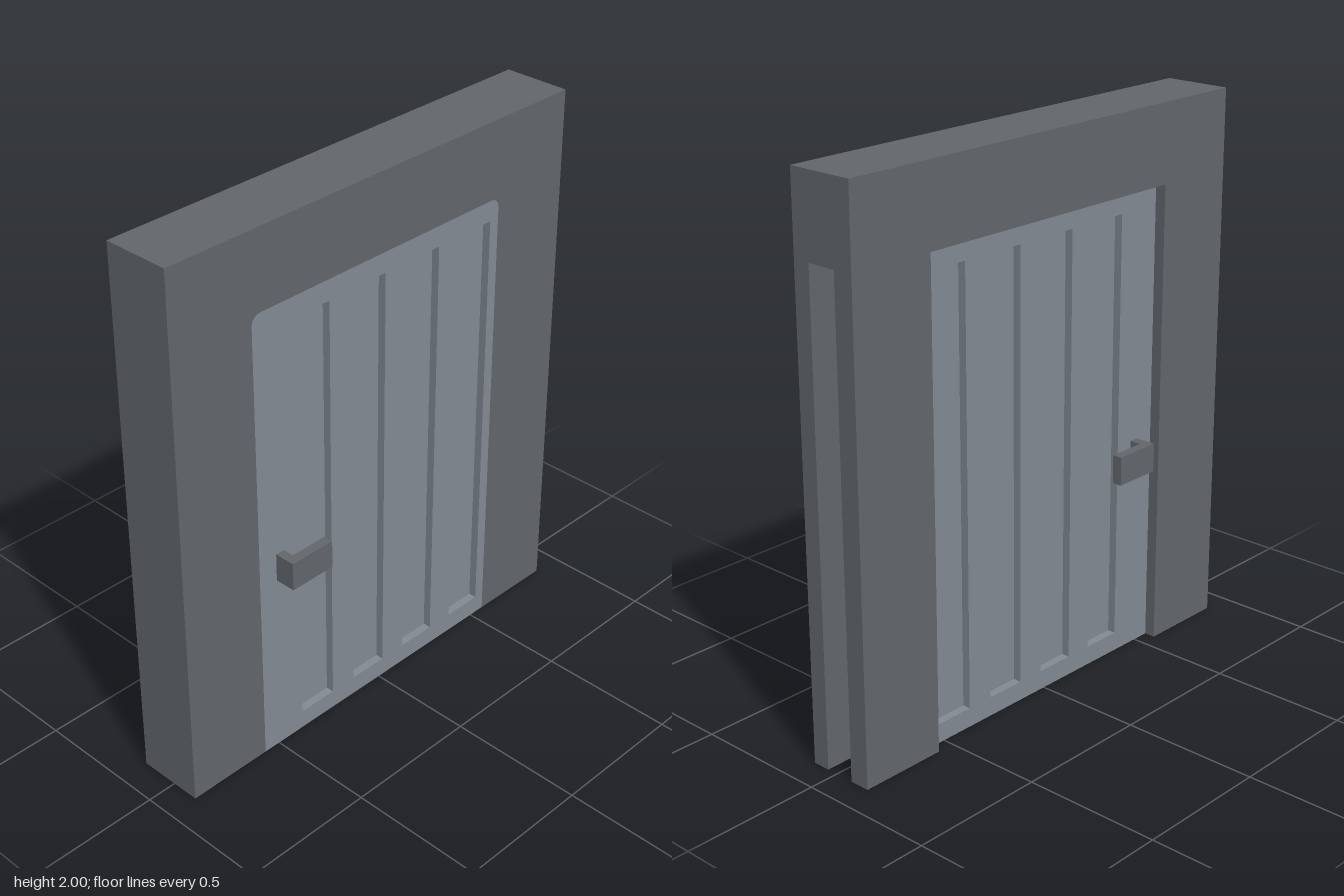
import * as THREE from 'three';

const W = 0.89, H = 2, DW = 0.565, DH = 1.715;

const wallMat = new THREE.MeshStandardMaterial({ color: 0x62676c });
wallMat.name = 'dark grey';
const doorMat = new THREE.MeshStandardMaterial({ color: 0x838a93 });
doorMat.name = 'light grey';

function add(parent, name, geometry, material) {
  const mesh = new THREE.Mesh(geometry, material);
  mesh.name = name;
  parent.add(mesh);
  return mesh;
}

function shapeOf(points) {
  return new THREE.Shape(points.map(([x, y]) => new THREE.Vector2(x, y)));
}

// flat slab between two z planes
function slab(shape, z0, z1) {
  const g = new THREE.ExtrudeGeometry(shape, { depth: z1 - z0, bevelEnabled: false, curveSegments: 6 });
  return g.translate(0, 0, z0);
}

function block(x0, x1, y0, y1, z0, z1) {
  return new THREE.BoxGeometry(x1 - x0, y1 - y0, z1 - z0)
    .translate((x0 + x1) / 2, (y0 + y1) / 2, (z0 + z1) / 2);
}

// top outline of the doorway from left foot to right foot, corners rounded by r
function doorway(r) {
  if (!r) return [[-DW, 0], [-DW, DH], [DW, DH], [DW, 0]];
  const pts = [[-DW, 0]];
  for (const s of [-1, 1]) {
    for (let i = 0; i <= 4; i++) {
      const a = (s < 0 ? i : 4 - i) * Math.PI / 8;
      pts.push([s * (DW - r + r * Math.cos(a)), DH - r + r * Math.sin(a)]);
    }
  }
  pts.push([DW, 0]);
  return pts;
}

// door skin with four tall openings
function doorSkin(r) {
  const shape = shapeOf(doorway(r));
  for (let i = 0; i < 4; i++) {
    const x = -0.385 + i * 0.2535;
    shape.holes.push(new THREE.Path([[x, 0.07], [x + 0.15, 0.07], [x + 0.15, 1.64], [x, 1.64]]
      .map(([px, py]) => new THREE.Vector2(px, py))));
  }
  return shape;
}

export function createModel() {
  const model = new THREE.Group();
  model.name = 'slidingDoor';

  // wall: two faces with a doorway, and a core with a pocket open on one side
  const wall = new THREE.Group();
  wall.name = 'wall';
  model.add(wall);
  const outline = (r) => shapeOf([[-W, 0], ...doorway(r), [W, 0], [W, H], [-W, H]]);
  add(wall, 'wallFront', slab(outline(0.035), 0.04, 0.105), wallMat);
  add(wall, 'wallBack', slab(outline(0), -0.145, -0.07), wallMat);
  add(wall, 'wallCore', slab(shapeOf([[-W, 0], [-DW, 0], [-DW, DH], [W, DH], [W, H], [-W, H]]), -0.07, 0.04), wallMat);

  // door leaf with recessed panels on both sides
  const door = new THREE.Group();
  door.name = 'door';
  model.add(door);
  add(door, 'doorCore', block(-DW, DW, 0, DH, -0.075, 0.075), doorMat);
  add(door, 'doorFront', slab(doorSkin(0.035), 0.075, 0.105), doorMat);
  add(door, 'doorBack', slab(doorSkin(0), -0.105, -0.075), doorMat);

  // L-shaped handles, front and back
  for (const s of [1, -1]) {
    const handle = new THREE.Group();
    handle.name = s > 0 ? 'frontHandle' : 'backHandle';
    const z = (a, b) => (s > 0 ? [a, b] : [-b, -a]);
    add(handle, 'handleStem', block(-0.49, -0.455, 0.695, 0.8, ...z(0.1, 0.147)), wallMat);
    add(handle, 'handleGrip', block(-0.49, -0.31, 0.695, 0.8, ...z(0.147, 0.183)), wallMat);
    model.add(handle);
  }
  return model;
}
